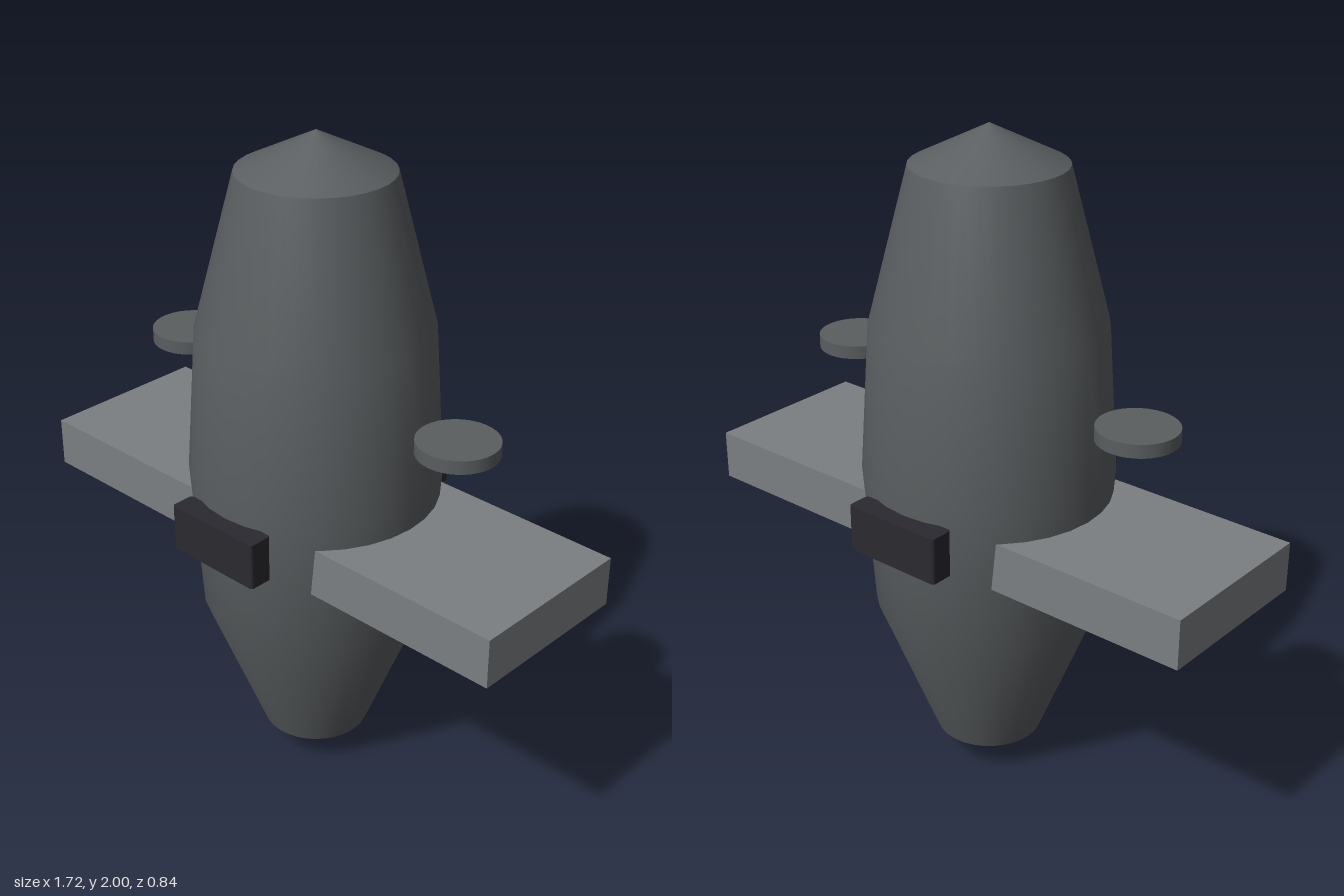
import * as THREE from 'three';

const hullGray = new THREE.MeshStandardMaterial({ color: 0x5a5e60 });
hullGray.name = 'hull gray';
const wingGray = new THREE.MeshStandardMaterial({ color: 0x7b7f82 });
wingGray.name = 'wing gray';
const darkTrim = new THREE.MeshStandardMaterial({ color: 0x292930 });
darkTrim.name = 'dark trim';

export function createModel() {
  const model = new THREE.Group();
  model.name = 'craft';

  const add = (name, geometry, material, x = 0, y = 0, z = 0) => {
    const mesh = new THREE.Mesh(geometry, material);
    mesh.name = name;
    mesh.position.set(x, y, z);
    model.add(mesh);
    return mesh;
  };
  const lathe = (points) =>
    new THREE.LatheGeometry(points.map(([r, y]) => new THREE.Vector2(r, y)), 32);

  // Hull: smooth shell with separate cones so the rims stay sharp
  add('hull', lathe([[0.162, 0.105], [0.34, 0.565], [0.37, 1.0], [0.34, 1.44], [0.222, 1.89]]), hullGray);
  add('noseCone', lathe([[0.222, 1.89], [0, 2]]), hullGray);
  add('tailCone', lathe([[0, 0.005], [0.162, 0.105]]), hullGray);

  // Wings and the discs floating above them
  for (const [side, s] of [['left', 1], ['right', -1]]) {
    add(side + 'Wing', new THREE.BoxGeometry(0.66, 0.15, 0.53), wingGray, s * 0.528, 0.85, 0);
    add(side + 'Disc', new THREE.CylinderGeometry(0.117, 0.117, 0.04, 32), hullGray, s * 0.52, 1.25, 0);
  }

  // Pod under the right wing
  add('underwingPod', new THREE.BoxGeometry(0.285, 0.06, 0.19), hullGray, -0.602, 0.75, 0);

  // Dark blocks on front and back, with softened upright edges
  const w = 0.158, d = 0.037, r = 0.009;
  const outline = new THREE.Shape();
  outline.absarc(w - r, d - r, r, 0, Math.PI / 2);
  outline.absarc(-w + r, d - r, r, Math.PI / 2, Math.PI);
  outline.absarc(-w + r, -d + r, r, Math.PI, Math.PI * 1.5);
  outline.absarc(w - r, -d + r, r, Math.PI * 1.5, Math.PI * 2);
  const block = new THREE.ExtrudeGeometry(outline, { depth: 0.14, bevelEnabled: false, curveSegments: 3 });
  block.rotateX(-Math.PI / 2);
  add('frontBlock', block, darkTrim, 0, 0.83, 0.384);
  add('backBlock', block, darkTrim, 0, 0.83, -0.384);

  return model;
}
